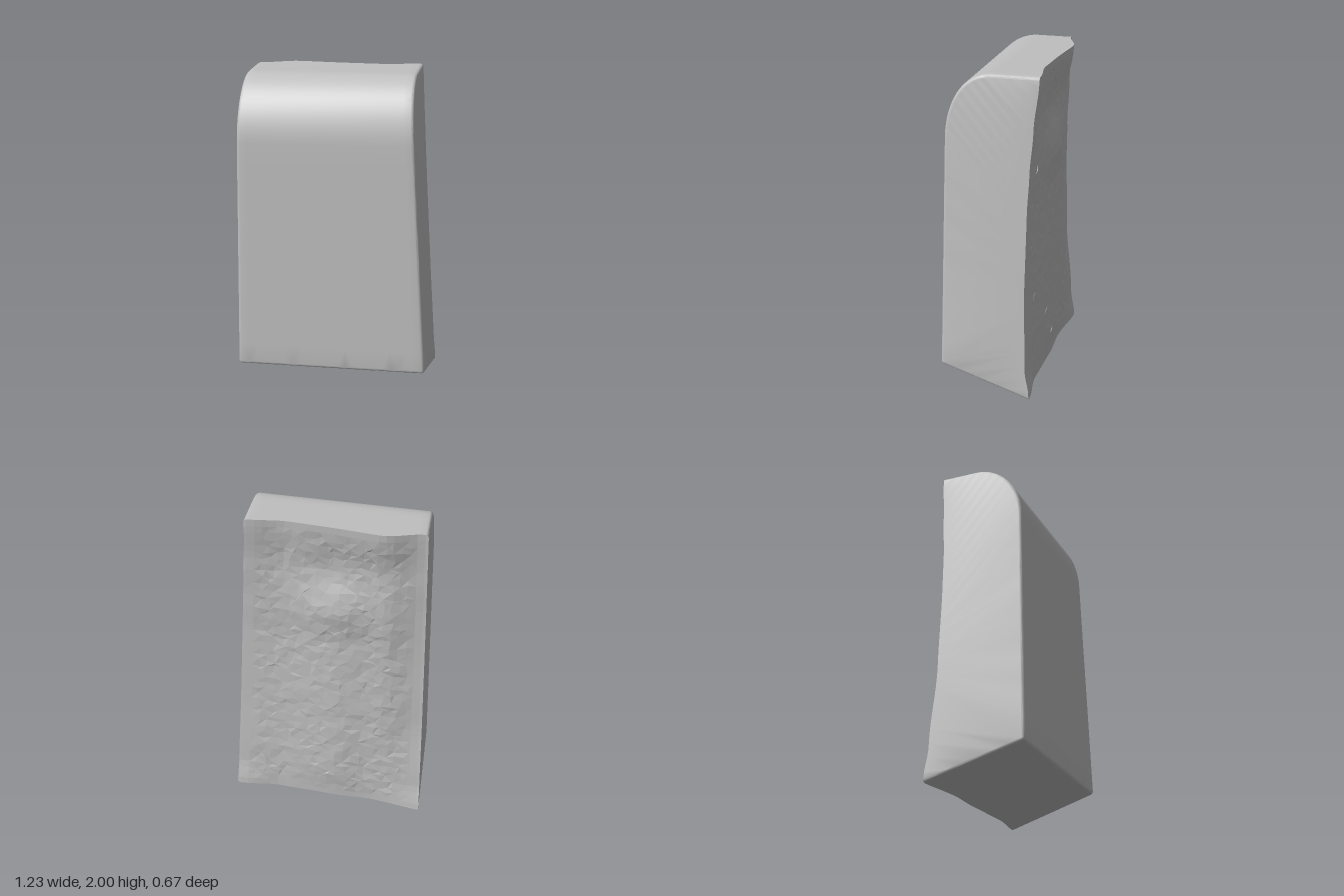
import * as THREE from 'three';
import { toCreasedNormals } from 'three/addons/utils/BufferGeometryUtils.js';

const lerp = THREE.MathUtils.lerp;
const BEVEL = 0.018;

// Depth of the rough back: rows run bottom to top, columns from -x to +x
const ROWS = [0, 0.1, 0.35, 0.6, 0.72, 0.85, 1];
const DEPTH = [
  [-0.26, -0.245, -0.27, -0.28, -0.33],
  [-0.235, -0.25, -0.285, -0.28, -0.3],
  [-0.2, -0.255, -0.28, -0.275, -0.285],
  [-0.19, -0.25, -0.275, -0.27, -0.287],
  [-0.19, -0.26, -0.3, -0.28, -0.295],
  [-0.2, -0.25, -0.25, -0.27, -0.31],
  [-0.21, -0.293, -0.287, -0.29, -0.335],
];

function backZ(u, v) {
  let r = 0;
  while (r < ROWS.length - 2 && v > ROWS[r + 1]) r++;
  const c = Math.min(3, Math.floor(u * 4));
  const fu = THREE.MathUtils.smoothstep(u * 4 - c, 0, 1);
  const fv = THREE.MathUtils.smoothstep(v, ROWS[r], ROWS[r + 1]);
  return lerp(lerp(DEPTH[r][c], DEPTH[r][c + 1], fu), lerp(DEPTH[r + 1][c], DEPTH[r + 1][c + 1], fu), fv);
}

// The two leaning side planes, and a point between them
const leftX = (y, z) => -0.59 + 0.0146 * y + 0.104 * z;
const rightX = (y, z) => 0.606 - 0.0689 * y + 0.101 * z;
const place = (u, y, z) => new THREE.Vector3(lerp(leftX(y, z), rightX(y, z), u), y, z);

function seeded(seed) {
  return () => {
    seed = (seed * 16807) % 2147483647;
    return seed / 2147483647 - 0.5;
  };
}

// Outline in (z, y): along the underside, up the front, over the rounded top
function profile(u, inset) {
  const V = (z, y) => new THREE.Vector2(z, y);
  const start = V(backZ(u, 0), lerp(0, 0.037, u));
  const corner = V(lerp(0.333, 0.213, u), lerp(0.17, 0.208, u));
  const shoulder = V(lerp(0.305, 0.2, u), lerp(1.6, 1.63, u));
  const top = lerp(1.972, 2, u);
  const crest = V(lerp(0.0, -0.07, u), top);
  const end = V(backZ(u, 1), top);
  const a = corner.clone().lerp(start, 0.03);
  const b = corner.clone().lerp(shoulder, 0.012);
  const pieces = [
    [new THREE.LineCurve(start, a), 8],
    [new THREE.QuadraticBezierCurve(a, corner, b), 4],
    [new THREE.LineCurve(b, shoulder), 12],
    [new THREE.CubicBezierCurve(shoulder, V(shoulder.x - 0.005, shoulder.y + 0.2),
      V(crest.x + 0.17, top), crest), 16],
    [new THREE.LineCurve(crest, end), 6],
  ];
  const pts = [start];
  for (const [curve, n] of pieces) pts.push(...curve.getPoints(n).slice(1));
  return pts.map((p, i) => {
    const d = pts[Math.min(i + 1, pts.length - 1)].clone().sub(pts[Math.max(i - 1, 0)]).normalize();
    const q = V(p.x - d.y * inset, p.y + d.x * inset);
    if (i === 0 || i === pts.length - 1) q.x = p.x;
    return q;
  });
}

// Adds a grid of quads; grid[j][i], with j then i turning counter-clockwise
function addGrid(out, grid, flip) {
  for (let j = 0; j < grid.length - 1; j++) {
    for (let i = 0; i < grid[j].length - 1; i++) {
      const a = grid[j][i], b = grid[j + 1][i], c = grid[j + 1][i + 1], d = grid[j][i + 1];
      const tris = (i + j) % 2 ? [[a, b, c], [a, c, d]] : [[a, b, d], [b, c, d]];
      for (const [p, q, r] of tris) out.push(...(flip ? [p, r, q] : [p, q, r]));
    }
  }
}

export function createModel() {
  const group = new THREE.Group();
  group.name = 'stoneBlock';
  const stone = new THREE.MeshStandardMaterial({ color: 0xc0c0c0 });
  stone.name = 'pale grey stone';

  // Columns across the width, with rounded edges at both sides
  const edge = [];
  for (let k = 0; k <= 4; k++) {
    const t = (k / 4) * Math.PI / 2;
    edge.push([BEVEL * (1 - Math.cos(t)), BEVEL * (1 - Math.sin(t))]);
  }
  const middle = [];
  for (let k = 1; k < 24; k++) middle.push([lerp(BEVEL, 1 - BEVEL, k / 24), 0]);
  const columns = [...edge, ...middle, ...edge.map(([u, d]) => [1 - u, d]).reverse()];

  const rand = seeded(71);
  const front = [], back = [];
  columns.forEach(([u, inset], j) => {
    const outline = profile(u, inset);
    const n = outline.length - 1;
    front.push(outline.map((p) => place(u, p.y, p.x)));
    const inner = j > 5 && j < columns.length - 6;
    back.push(outline.map((_, i) => {
      if (i === 0 || i === n) return front[j][i];
      const loose = inner && i > 1 && i < n - 1 ? 1 : 0;
      const uu = u + rand() * 0.028 * loose;
      const v = i / n + rand() * 0.015 * loose;
      const y = lerp(outline[0].y, outline[n].y, v);
      return place(uu, y, backZ(uu, v) + rand() * 0.006 * loose);
    }));
  });

  // Smooth dressed faces: underside, front, top and both sides
  const dressed = [], last = columns.length - 1;
  addGrid(dressed, front, false);
  addGrid(dressed, [back[0], front[0]], false);
  addGrid(dressed, [back[last], front[last]], true);
  const shell = toCreasedNormals(new THREE.BufferGeometry().setFromPoints(dressed), 0.5);
  const shellMesh = new THREE.Mesh(shell, stone);
  shellMesh.name = 'dressedFaces';
  group.add(shellMesh);

  // Rough, faceted back
  const rough = [];
  addGrid(rough, back, true);
  const backGeo = new THREE.BufferGeometry().setFromPoints(rough);
  backGeo.computeVertexNormals();
  const backMesh = new THREE.Mesh(backGeo, stone);
  backMesh.name = 'roughBack';
  group.add(backMesh);
  return group;
}
